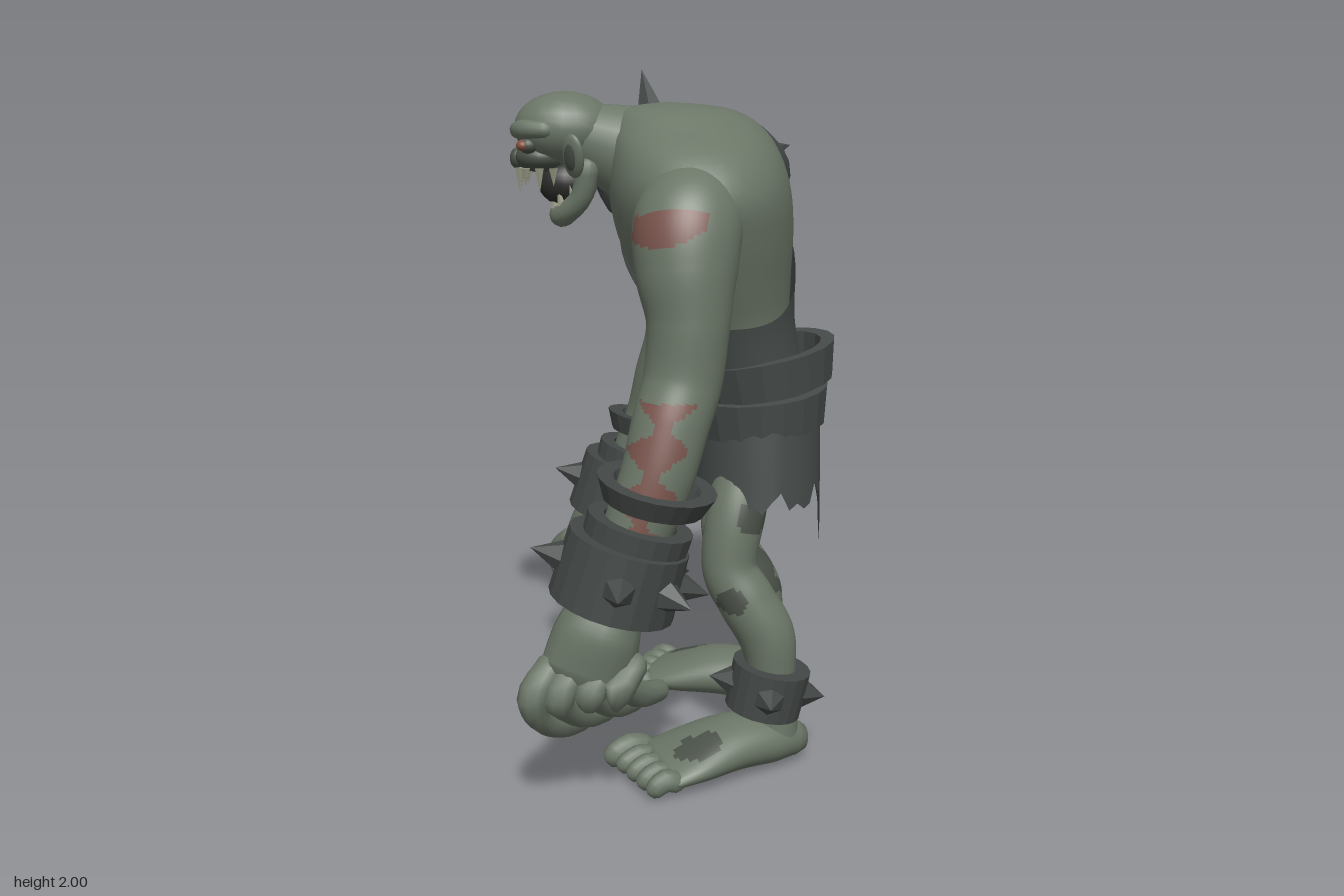
import * as THREE from 'three';

const V = (x, y, z) => new THREE.Vector3(x, y, z);
const UP = V(0, 1, 0);

export function createModel() {
  const model = new THREE.Group();
  const mat = (name, color, side = THREE.FrontSide) => {
    const m = new THREE.MeshStandardMaterial({ color, side });
    m.name = name;
    return m;
  };
  const skin = mat('skin', 0x6b7667), darkSkin = mat('darkSkin', 0x4a5148);
  const wound = mat('wound', 0x7a554d), cloth = mat('cloth', 0x474d4b, THREE.DoubleSide);
  const metal = mat('metal', 0x434846), mouthDark = mat('mouth', 0x2a2b29);
  const bone = mat('bone', 0x9c9c88), eyeRed = mat('eye', 0x86503f);

  const add = (name, geo, material, parent = model) => {
    const m = new THREE.Mesh(geo, material);
    m.name = name;
    parent.add(m);
    return m;
  };
  const group = (name, parent = model) => {
    const g = new THREE.Group();
    g.name = name;
    parent.add(g);
    return g;
  };

  // smooth interpolation through rows of numbers, t in 0..1
  const spline = (rows, t) => {
    const n = rows.length - 1, k = Math.min(Math.max(t, 0), 1) * n, i = Math.min(Math.floor(k), n - 1), u = k - i;
    const p = (j) => rows[Math.min(Math.max(j, 0), n)];
    return rows[0].map((_, c) => {
      const a = p(i - 1)[c], b = p(i)[c], d = p(i + 1)[c], e = p(i + 2)[c];
      return b + 0.5 * u * (d - a + u * (2 * a - 5 * b + 4 * d - e + u * (3 * (b - d) + e - a)));
    });
  };

  // closed skin over rings of points, with an optional material choice per face
  const ringGeometry = (rings, pick) => {
    const cols = rings[0].length, faces = [[], [], []];
    for (let i = 0; i < rings.length - 1; i++) for (let j = 0; j < cols; j++) {
      const k = (j + 1) % cols, a = i * cols + j, b = i * cols + k;
      const mid = rings[i][j].clone().add(rings[i + 1][k]).multiplyScalar(0.5);
      faces[pick ? pick(mid) : 0].push(a, b, b + cols, a, b + cols, a + cols);
    }
    const g = new THREE.BufferGeometry().setFromPoints(rings.flat());
    g.setIndex(faces.flat());
    let start = 0;
    faces.forEach((f, m) => { g.addGroup(start, f.length, m); start += f.length; });
    g.computeVertexNormals();
    return g;
  };

  // rounded limb through rows of [x, y, z, radius, flatness]; ref is the flattened direction
  const limb = (name, rows, parent, { ref = V(0, 0, 1), steps = 14, sides = 14, pick } = {}) => {
    const data = rows.map((r) => (r.length > 4 ? r : [...r, 1])), rings = [];
    const ring = (t, shift, size) => {
      const [x, y, z, r, flat] = spline(data, t);
      const dir = V(...spline(data, t + 0.01)).sub(V(...spline(data, t - 0.01))).normalize();
      const n = ref.clone().addScaledVector(dir, -ref.dot(dir)).normalize(), b = dir.clone().cross(n);
      rings.push(Array.from({ length: sides }, (_, j) => {
        const a = j / sides * Math.PI * 2;
        return V(x, y, z).addScaledVector(dir, shift * r * flat)
          .addScaledVector(n, Math.cos(a) * r * size * flat).addScaledVector(b, Math.sin(a) * r * size);
      }));
    };
    ring(0, -0.8, 0.01); ring(0, -0.55, 0.7);
    for (let i = 0; i <= steps; i++) ring(i / steps, 0, 1);
    ring(1, 0.55, 0.7); ring(1, 0.8, 0.01);
    return add(name, ringGeometry(rings, pick), pick ? [skin, wound, darkSkin] : skin, parent);
  };

  const ball = (name, pos, scale, material, parent) => {
    const m = add(name, new THREE.SphereGeometry(1, 20, 14), material, parent);
    m.position.set(...pos);
    m.scale.set(...scale);
    return m;
  };
  const spike = (name, base, tip, r, parent, material = metal) => {
    const d = tip.clone().sub(base), geo = new THREE.ConeGeometry(r, d.length(), 6).toNonIndexed();
    geo.computeVertexNormals();
    const m = add(name, geo, material, parent);
    m.position.copy(base).addScaledVector(d, 0.5);
    m.quaternion.setFromUnitVectors(UP, d.normalize());
  };
  // hollow band with its axis along local y, spikes at the given angles in degrees
  const band = (name, pos, axis, rBottom, rTop, h, parent, spikes = [], len = 0.08, material = metal) => {
    const g = group(name, parent), w = 0.045;
    const pts = [[rBottom - w, -h / 2], [rBottom, -h / 2], [rTop, h / 2], [rTop - w, h / 2], [rBottom - w, -h / 2]];
    const geo = new THREE.LatheGeometry(pts.map((p) => new THREE.Vector2(...p)), 20).toNonIndexed();
    geo.computeVertexNormals();
    add(name + 'Ring', geo, material, g);
    for (const deg of spikes) {
      const a = deg * Math.PI / 180, r = (rBottom + rTop) / 2 - 0.01, d = V(Math.cos(a), 0, Math.sin(a));
      spike('bandSpike', d.clone().multiplyScalar(r), d.clone().multiplyScalar(r + len), 0.047, g);
    }
    g.position.set(...pos);
    g.quaternion.setFromUnitVectors(UP, V(...axis).normalize());
    return g;
  };

  // torso: rows of [y, centre x, half depth, half width]
  const body = [[1.0, 0.23, 0.15, 0.2], [1.15, 0.2, 0.16, 0.215], [1.3, 0.15, 0.185, 0.255], [1.42, 0.11, 0.225, 0.31],
    [1.55, 0.085, 0.255, 0.365], [1.67, 0.07, 0.262, 0.395], [1.77, 0.055, 0.247, 0.335], [1.85, 0.03, 0.215, 0.21],
    [1.9, 0.0, 0.15, 0.12], [1.918, -0.02, 0.001, 0.001]];
  const bodyPoint = (t, a, grow = 0) => {
    const [y, cx, rx, rz] = spline(body, t);
    return V(cx + (rx + grow) * Math.cos(a), y, -(rz + grow) * Math.sin(a));
  };
  const rows = (count, cols, f) => Array.from({ length: count + 1 }, (_, i) =>
    Array.from({ length: cols }, (_, j) => f(i / count, j / cols * Math.PI * 2, j)));
  add('torso', ringGeometry(rows(36, 40, (t, a) => bodyPoint(t, a))), skin);

  // one-shouldered tunic with a curved, slanting upper edge
  const heightToT = (y) => {
    let lo = 0, hi = 1;
    for (let k = 0; k < 20; k++) spline(body, (lo + hi) / 2)[0] < y ? (lo = (lo + hi) / 2) : (hi = (lo + hi) / 2);
    return lo;
  };
  add('tunic', ringGeometry(rows(20, 48, (t, a) => {
    const s = Math.sin(a), edge = 1.45 + 0.24 * s + 0.1 * s * s;
    return bodyPoint(heightToT(1.03 + t * (edge - 1.03)), a, 0.014);
  })), cloth);

  // ragged cloth: skirt and sleeve
  const ragged = (name, [cx, cz], yTop, yLow, top, low, jag, tail = 0) => add(name, ringGeometry(rows(5, 44, (t, a, j) => {
    const tear = jag * (Math.sin(j * 2.4) + Math.sin(j * 1.1 + 1)) * 0.5;
    const drop = tail * Math.max(0, 1 - Math.abs(Math.sin(a / 2)) * 7);
    const s = 1 - t, y = yTop + (yLow + tear - drop - yTop) * s;
    return V(cx + (low[0] + (top[0] - low[0]) * t) * Math.cos(a), y, cz - (low[1] + (top[1] - low[1]) * t) * Math.sin(a));
  })), cloth);
  ragged('skirt', [0.245, 0], 1.06, 0.795, [0.185, 0.245], [0.19, 0.268], 0.045, 0.2);
  ragged('sleeve', [0.03, -0.385], 1.56, 1.33, [0.15, 0.13], [0.145, 0.125], 0.03);

  // belts, higher at the back
  const lowerBelt = band('lowerBelt', [0.24, 1.035, 0], [-0.08, 1, 0], 0.248, 0.268, 0.11, model, [], 0, cloth);
  const upperBelt = band('upperBelt', [0.245, 1.15, 0], [-0.17, 1, 0], 0.24, 0.265, 0.11, model, [], 0, cloth);
  lowerBelt.children[0].scale.x = 0.81;
  upperBelt.children[0].scale.x = 0.89;

  // head
  const head = group('head');
  limb('neck', [[0.0, 1.72, 0, 0.17], [-0.13, 1.775, 0, 0.138], [-0.26, 1.82, 0, 0.1]], head);
  ball('cranium', [-0.315, 1.845, 0], [0.145, 0.103, 0.12], skin, head);
  ball('muzzle', [-0.385, 1.765, 0], [0.075, 0.045, 0.078], darkSkin, head);
  ball('nose', [-0.452, 1.76, 0], [0.022, 0.03, 0.028], darkSkin, head);
  ball('mouth', [-0.315, 1.69, 0], [0.08, 0.065, 0.066], mouthDark, head);
  limb('brow', [[-0.36, 1.845, -0.1, 0.024], [-0.425, 1.845, -0.072, 0.027], [-0.448, 1.84, 0, 0.024],
    [-0.425, 1.845, 0.072, 0.027], [-0.36, 1.845, 0.1, 0.024]], head, { ref: UP });
  limb('jaw', [[-0.25, 1.74, -0.088, 0.034], [-0.265, 1.66, -0.078, 0.032], [-0.315, 1.605, -0.045, 0.032], [-0.33, 1.6, 0, 0.034],
    [-0.315, 1.605, 0.045, 0.032], [-0.265, 1.66, 0.078, 0.032], [-0.25, 1.74, 0.088, 0.034]], head, { ref: V(1, 0, 0), steps: 20 });
  for (const s of [-1, 1]) {
    ball('eyeSocket', [-0.415, 1.8, s * 0.06], [0.028, 0.024, 0.03], darkSkin, head);
    ball('eye', [-0.43, 1.8, s * 0.07], [0.019, 0.016, 0.022], eyeRed, head);
    const ear = ball('ear', [-0.285, 1.775, s * 0.138], [0.038, 0.065, 0.018], skin, head);
    ear.rotation.set(s * 0.35, s * -0.7, 0);
    ball('innerEar', [0, 0, s * 0.45], [0.65, 0.7, 0.7], darkSkin, ear);
    [[-0.445, 0.02], [-0.425, 0.05], [-0.385, 0.066], [-0.345, 0.07]].forEach(([x, z], i) =>
      spike('upperTooth', V(x, 1.735, s * z), V(x, 1.665 + (i % 2) * 0.02, s * z), 0.014, head, bone));
    [[-0.345, 0.02], [-0.325, 0.052], [-0.29, 0.07]].forEach(([x, z], i) =>
      spike('lowerTooth', V(x, 1.62 + i * 0.01, s * z), V(x - 0.01, 1.69, s * z), 0.013, head, bone));
  }

  // arms, wrist bands and hands; s is the side, drop lowers the forearm
  const arm = (name, s, drop) => {
    const g = group(name);
    const low = (y) => y - drop * Math.min(Math.max((1.7 - y) / 0.8, 0), 1);
    const at = (x, y, z, ...r) => [x, low(y), s * z, ...r];
    limb('armFlesh', [at(0.06, 1.65, 0.22, 0.14), at(0.03, 1.6, 0.32, 0.15), at(0.025, 1.48, 0.37, 0.138), at(0.03, 1.35, 0.4, 0.113),
      at(0.015, 1.2, 0.412, 0.108), at(-0.02, 1.08, 0.452, 0.105), at(-0.055, 0.95, 0.485, 0.1),
      at(-0.11, 0.8, 0.5, 0.095), at(-0.17, 0.62, 0.51, 0.085)], g, {
      steps: 130, sides: 56,
      pick: (p) => {
        if (s < 0) return 0;
        const patch = ((p.x + 0.03) / 0.115) ** 2 + ((p.y - 1.62 - 0.2 * p.x) / 0.048) ** 2 < 1 && p.z > 0.36;
        const scar = p.y < 1.16 && p.y > 0.8 && p.z > 0.45 && Math.abs(p.x + 0.05 - 0.25 * (p.y - 1.05)) < 0.05 + 0.03 * Math.sin(p.y * 50);
        return patch || scar ? 1 : 0;
      },
    });
    const tilt = [0.27, 0.95, 0];
    band('collarBand', at(-0.06, 0.905, 0.49), [0.2, 0.95, s * 0.06], 0.14, 0.166, 0.06, g);
    band('middleBand', at(-0.11, 0.79, 0.497), tilt, 0.145, 0.148, 0.08, g);
    band('spikedBand', at(-0.155, 0.69, 0.505), tilt, 0.176, 0.168, 0.19, g, [0, 38, -38, 90, 180, 270], 0.09);
    // hand with curled fingers
    const hand = group('hand', g);
    limb('palm', [[-0.17, 0.62, s * 0.505, 0.085], [-0.215, 0.52, s * 0.52, 0.12, 0.95], [-0.255, 0.41, s * 0.545, 0.125, 0.65]], hand);
    [-0.37, -0.3, -0.22, -0.15].forEach((x, i) => {
      const y = 0.2 + i * 0.03;
      limb('finger', [[x + 0.03, 0.44, s * 0.55, 0.042], [x - 0.02, 0.37, s * 0.605, 0.044], [x - 0.005, y + 0.09, s * 0.575, 0.034],
        [x + 0.045, y + 0.03, s * 0.48, 0.038], [x + 0.1, y, s * 0.385, 0.031]], hand, { ref: V(1, 0, 0), sides: 10 });
    });
    limb('thumb', [[-0.2, 0.53, s * 0.45, 0.055], [-0.23, 0.48, s * 0.38, 0.045], [-0.21, 0.42, s * 0.34, 0.042],
      [-0.15, 0.36, s * 0.345, 0.032]], hand, { ref: V(1, 0, 0), sides: 10 });
  };
  arm('leftArm', 1, 0);
  arm('rightArm', -1, 0.06);

  // legs and feet; knee moves the knee inward, splay moves the heel inward
  const leg = (name, s, thin, knee, splay) => {
    const g = group(name);
    const at = (x, y, z, r, ...f) => [x, y, s * z, r * thin, ...f];
    const out = (x, z) => s * (z - splay * (x + 0.05) / 0.33);
    limb('legFlesh', [at(0.22, 0.95, 0.11, 0.085), at(0.175, 0.76, 0.185, 0.086), at(0.155, 0.6, 0.21 - knee, 0.08), at(0.205, 0.5, 0.225 - knee, 0.084),
      at(0.265, 0.39, 0.23 - knee, 0.083), at(0.283, 0.24, 0.235 - splay, 0.068), at(0.288, 0.08, 0.235 - splay, 0.075)], g, {
      steps: 80, sides: 40,
      pick: (p) => (Math.hypot((p.x - 0.16) / 0.045, (p.y - 0.52) / 0.04) < 1
        || Math.hypot((p.x - 0.23) / 0.06, (p.y - 0.76) / 0.05) < 1
        || (s < 0 && p.z > -0.165 + 0.02 * Math.sin(p.y * 60) && Math.abs(p.y - 0.49) < 0.1) ? 2 : 0),
    });
    limb('foot', [[0.35, 0.06, out(0.35, 0.205), 0.06, 0.9], [0.28, 0.075, out(0.28, 0.232), 0.09, 0.82], [0.16, 0.08, out(0.16, 0.278), 0.115, 0.65],
      [0.04, 0.06, out(0.04, 0.322), 0.142, 0.4], [-0.045, 0.042, out(-0.045, 0.352), 0.145, 0.26]], g, {
      ref: UP, steps: 40, sides: 40,
      pick: (p) => (p.y < 0.016 || (p.y > 0.04 && Math.hypot((p.x - 0.06) / 0.07, (p.z - s * 0.38) / 0.05) < 1) ? 2 : 0),
    });
    [-0.125, -0.06, 0, 0.06, 0.115].forEach((o, i) => {
      const x = -0.045 + 0.37 * o, z = 0.35 + 0.93 * o, l = 0.095 - i * 0.008, r = i === 0 ? 0.04 : 0.031;
      limb('toe', [[x, 0.04, s * z, r], [x - l * 0.5, 0.05, s * (z + l * 0.2), r * 1.05], [x - l, 0.03, s * (z + l * 0.4), r * 0.9]],
        g, { ref: UP, sides: 10, steps: 6 });
    });
  };
  leg('leftLeg', 1, 1, 0, 0);
  leg('rightLeg', -1, 0.9, 0.05, 0.03);
  band('ankleBand', [0.268, 0.235, 0.235], [0.2, 1, 0], 0.112, 0.116, 0.14, model, [0, 90, 180, 270], 0.07);

  // spiked shoulder plate over the right shoulder, its sides bent around the body
  const pad = group('shoulderPlate');
  const dome = [[0.265, 0], [0.29, -0.012], [0.3, 0.02], [0.275, 0.07], [0.22, 0.115], [0.13, 0.15], [0.001, 0.165]];
  const plateGeo = new THREE.LatheGeometry(dome.map((p) => new THREE.Vector2(...p)), 28);
  const pos = plateGeo.attributes.position;
  for (let i = 0; i < pos.count; i++) {
    const bend = pos.getX(i) ** 2;
    pos.setY(i, pos.getY(i) - 0.8 * bend);
    pos.setZ(i, pos.getZ(i) * 0.87 + 0.7 * bend);
  }
  plateGeo.computeVertexNormals();
  const plate = add('plate', plateGeo, cloth, pad);
  plate.quaternion.setFromUnitVectors(UP, V(0, 0.59, -0.81));
  plate.position.set(0.055, 1.665, -0.365);
  [[-0.06, 1.81, -0.38, -0.1, 2.0, -0.41], [-0.08, 1.72, -0.45, -0.2, 1.79, -0.66],
    [0.11, 1.6, -0.48, 0.14, 1.54, -0.65], [0.22, 1.73, -0.4, 0.37, 1.765, -0.49]].forEach((p) =>
    spike('plateSpike', V(p[0], p[1], p[2]), V(p[3], p[4], p[5]), 0.07, pad));
  return model;
}
